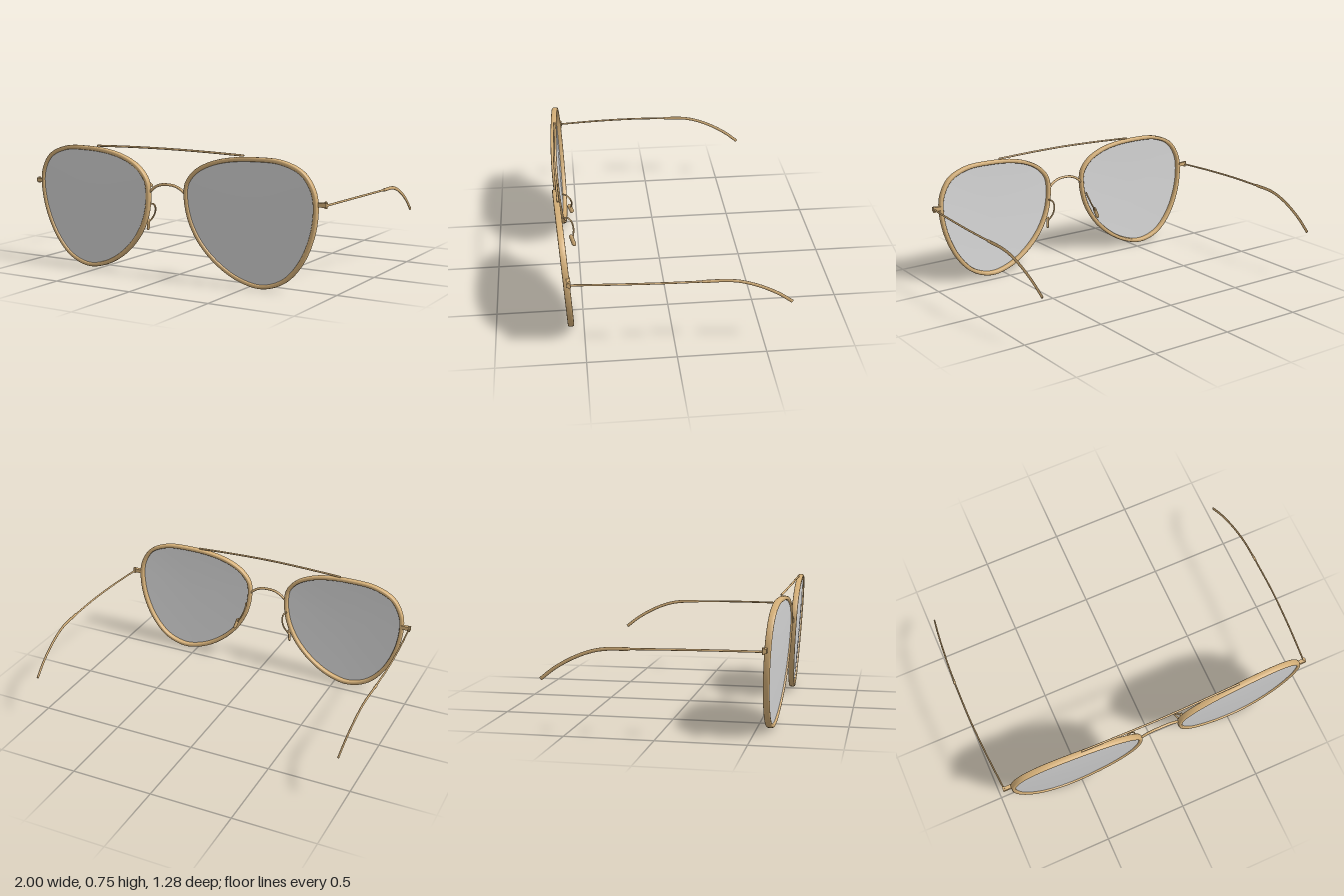
import * as THREE from 'three';

const gold = new THREE.MeshStandardMaterial({ color: 0xd4af78 });
gold.name = 'gold metal';
const tint = new THREE.MeshStandardMaterial({ color: 0xd4d4d4, side: THREE.DoubleSide });
tint.name = 'grey lens';

// Sweeps a rounded section along a smooth path: a = half size along `side`, b = half size across it
function sweep(points, a, b, { side = [0, 0, 1], closed = false, steps = 32, power = 1, segs = 12 } = {}) {
  const curve = new THREE.CatmullRomCurve3(points.map(p => new THREE.Vector3(...p)), closed, 'centripetal');
  const pos = [], index = [], rings = closed ? steps : steps + 1;
  const soft = v => Math.sign(v) * Math.abs(v) ** power;
  for (let i = 0; i < rings; i++) {
    const p = curve.getPointAt(i / steps), t = curve.getTangentAt(i / steps);
    const u = new THREE.Vector3(...side).addScaledVector(t, -t.dot(new THREE.Vector3(...side))).normalize();
    const v = new THREE.Vector3().crossVectors(t, u);
    for (let j = 0; j < segs; j++) {
      const th = (j / segs) * Math.PI * 2;
      pos.push(...p.clone().addScaledVector(u, a * soft(Math.cos(th))).addScaledVector(v, b * soft(Math.sin(th))).toArray());
    }
  }
  for (let i = 0; i < steps; i++) {
    const r0 = i * segs, r1 = ((i + 1) % rings) * segs;
    for (let j = 0; j < segs; j++) {
      const k = (j + 1) % segs;
      index.push(r0 + j, r0 + k, r1 + k, r0 + j, r1 + k, r1 + j);
    }
  }
  if (!closed) {
    const c = rings * segs, last = steps * segs;
    pos.push(...curve.getPointAt(0).toArray(), ...curve.getPointAt(1).toArray());
    for (let j = 0; j < segs; j++) {
      const k = (j + 1) % segs;
      index.push(c, k, j, c + 1, last + j, last + k);
    }
  }
  return surface(pos, index);
}

function surface(pos, index) {
  const g = new THREE.BufferGeometry();
  g.setAttribute('position', new THREE.Float32BufferAttribute(pos, 3));
  g.setIndex(index);
  g.computeVertexNormals();
  return g;
}

// Teardrop outline of one rim, outer edge
const outline = [
  [0.116, 0.505], [0.127, 0.568], [0.182, 0.636], [0.275, 0.687], [0.395, 0.718], [0.56, 0.731], [0.73, 0.722],
  [0.852, 0.668], [0.912, 0.575], [0.925, 0.48], [0.902, 0.325], [0.83, 0.163], [0.725, 0.05],
  [0.59, 0.004], [0.45, 0.031], [0.32, 0.105], [0.212, 0.212], [0.148, 0.325], [0.122, 0.42],
];
// The front leans back at the bottom and wraps back at the sides
const frontZ = (x, y) => 0.579 + 0.055 * y - 0.04 * (Math.abs(x) - 0.52);

// Slightly domed lens, set toward the front of the rim
function lensGeometry(path) {
  const curve = new THREE.CatmullRomCurve3(path.map(p => new THREE.Vector3(...p)), true, 'centripetal');
  const n = 96, rings = 6, cx = Math.sign(path[0][0]) * 0.54, cy = 0.4;
  const lensZ = (x, y, f) => frontZ(x, y) + 0.008 + 0.006 * (1 - f * f);
  const pos = [cx, cy, lensZ(cx, cy, 0)], index = [];
  for (let r = 1; r <= rings; r++) {
    const f = r / rings;
    for (let i = 0; i < n; i++) {
      const p = curve.getPointAt(i / n);
      const x = cx + (p.x - cx) * f, y = cy + (p.y - cy) * f;
      pos.push(x, y, lensZ(x, y, f));
    }
  }
  // Faces wind toward the front on either side
  const tri = (a, b, c) => (cx > 0 ? index.push(a, c, b) : index.push(a, b, c));
  for (let i = 0; i < n; i++) {
    const k = (i + 1) % n;
    tri(0, 1 + i, 1 + k);
    for (let r = 0; r < rings - 1; r++) {
      const o = 1 + r * n, q = o + n;
      tri(o + i, q + i, q + k);
      tri(o + i, q + k, o + k);
    }
  }
  return surface(pos, index);
}

export function createModel() {
  const model = new THREE.Group();
  model.name = 'glasses';
  const add = (name, geometry, material = gold) => {
    const mesh = new THREE.Mesh(geometry, material);
    mesh.name = name;
    model.add(mesh);
    return mesh;
  };

  for (const [s, label] of [[1, 'left'], [-1, 'right']]) {
    const flip = pts => pts.map(([x, y, z]) => [s * x, y, z]);

    // Rim and lens share one centre line
    const path = flip(outline.map(([px, py]) => {
      const x = 0.52 + (px - 0.52) * 0.969, y = 0.368 + (py - 0.368) * 0.966;
      return [x, y, frontZ(x, y)];
    }));
    add(label + 'Rim', sweep(path, 0.018, 0.0125, { closed: true, steps: 120, power: 0.6, segs: 16 }));
    add(label + 'Lens', lensGeometry(path), tint);

    // End piece and hinge
    add(label + 'EndPiece', new THREE.BoxGeometry(0.06, 0.024, 0.022)).position.set(s * 0.942, 0.498, 0.58);
    add(label + 'Hinge', new THREE.CylinderGeometry(0.008, 0.008, 0.036, 12)).position.set(s * 0.964, 0.498, 0.574);

    // Temple arm, collar and curved ear tip
    add(label + 'Temple', sweep(flip([
      [0.963, 0.495, 0.578], [0.982, 0.497, 0.34], [0.993, 0.496, 0.1], [0.992, 0.491, -0.15],
    ]), 0.005, 0.006, { side: [1, 0, 0] }));
    add(label + 'Collar', sweep(flip([[0.993, 0.492, -0.13], [0.992, 0.491, -0.155]]), 0.007, 0.009,
      { side: [1, 0, 0], steps: 1 }));
    add(label + 'EarTip', sweep(flip([
      [0.992, 0.491, -0.14], [0.988, 0.487, -0.26], [0.983, 0.472, -0.34],
      [0.977, 0.434, -0.44], [0.969, 0.372, -0.55], [0.962, 0.308, -0.633],
    ]), 0.005, 0.01, { side: [1, 0, 0] }));

    // Nose pad on its bent wire
    add(label + 'PadWire', sweep(flip([
      [0.145, 0.42, 0.59], [0.134, 0.412, 0.562], [0.136, 0.385, 0.54],
      [0.152, 0.345, 0.53], [0.174, 0.312, 0.535], [0.186, 0.3, 0.54],
    ]), 0.005, 0.005, { segs: 8 }));
    const pad = add(label + 'NosePad', new THREE.CapsuleGeometry(0.014, 0.048, 6, 14).scale(0.6, 1, 1));
    pad.position.set(s * 0.188, 0.287, 0.539);
    pad.rotation.set(0.38, s * -0.3, s * 0.25);
  }

  // Arched bridge and straight brow bar
  add('bridge', sweep([
    [-0.125, 0.49, 0.617], [-0.085, 0.522, 0.618], [-0.045, 0.538, 0.619], [0, 0.542, 0.62],
    [0.045, 0.538, 0.619], [0.085, 0.522, 0.618], [0.125, 0.49, 0.617],
  ], 0.008, 0.008));
  add('browBar', sweep([
    [-0.49, 0.735, 0.613], [-0.25, 0.742, 0.62], [0, 0.745, 0.624], [0.25, 0.742, 0.62], [0.49, 0.735, 0.613],
  ], 0.006, 0.006));

  return model;
}
